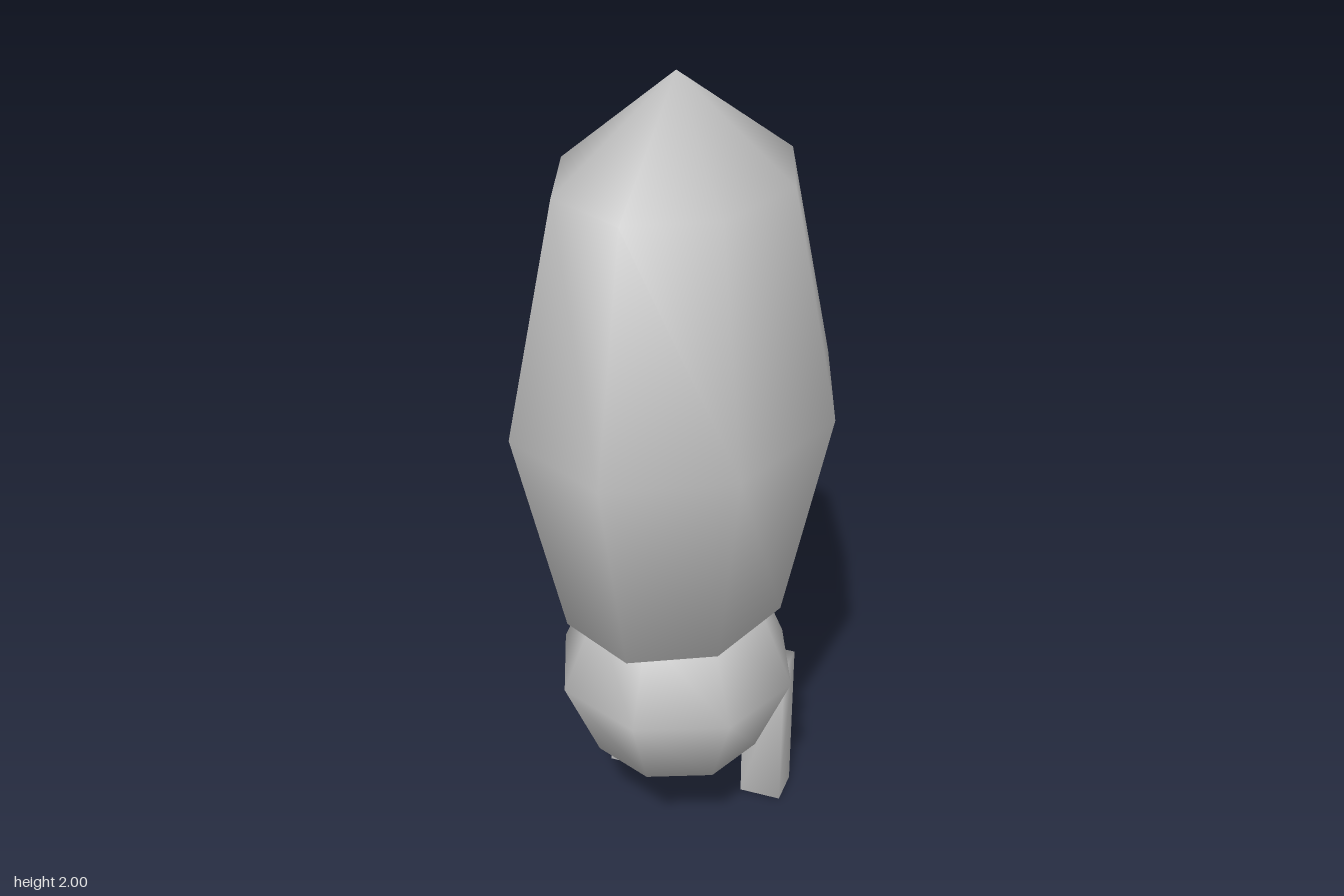
import * as THREE from 'three';
import { mergeVertices } from 'three/addons/utils/BufferGeometryUtils.js';

export function createModel() {
  const model = new THREE.Group();
  const grey = new THREE.MeshStandardMaterial({ color: 0xc4c4c4 });
  grey.name = 'light grey';

  function add(name, geometry, x, y, z) {
    const mesh = new THREE.Mesh(geometry, grey);
    mesh.name = name;
    mesh.position.set(x, y, z);
    model.add(mesh);
    return mesh;
  }

  // Tall ellipsoid above a small ball, both coarse but smooth shaded
  const ball = (rx, ry, rz) => new THREE.SphereGeometry(1, 8, 4).scale(rx, ry, rz);
  add('upperBody', ball(0.375, 0.75, 0.469), 0, 1.25, 0);
  add('lowerBody', ball(0.3, 0.3, 0.3), 0, 0.5, 0);

  // Square legs with normals shared across the edges
  const height = 0.422;
  const box = new THREE.BoxGeometry(0.108, height, 0.094);
  box.deleteAttribute('normal');
  box.deleteAttribute('uv');
  const legShape = mergeVertices(box);
  legShape.computeVertexNormals();
  for (const side of [1, -1]) {
    add(side > 0 ? 'leftLeg' : 'rightLeg', legShape, side * 0.1875, height / 2, -0.1875);
  }
  return model;
}
